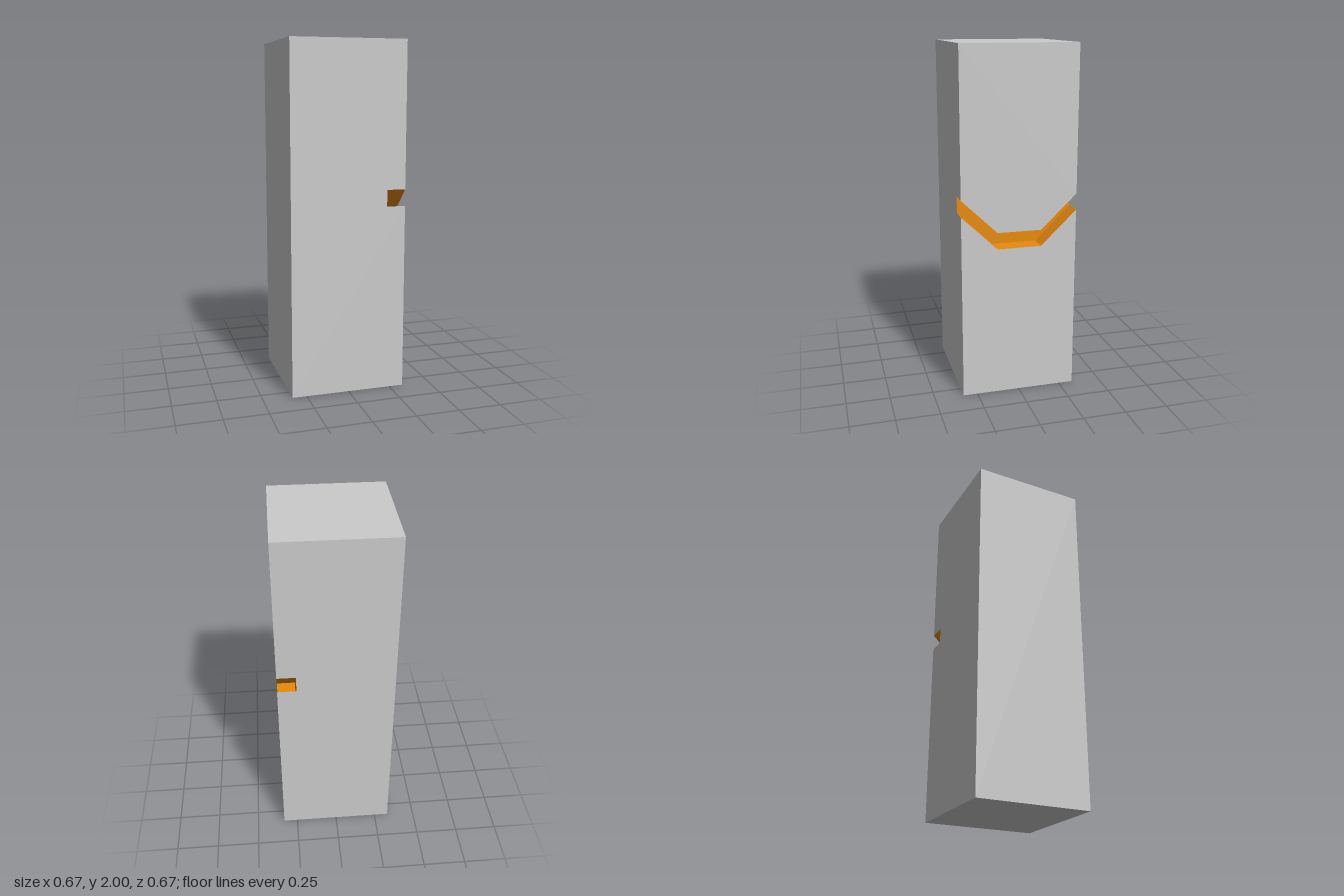
import * as THREE from 'three';

const H = 1 / 3;            // half width of the block
const TOP = 2;              // block height
const IN = 0.225;           // x of the groove's back wall
// groove edges along the right-hand face: [along, height]
const lower = [[-H, 1.073], [-0.127, 0.875], [0.127, 0.875], [H, 1.073]];
const upper = lower.map(([u, y]) => [u, y + 0.095]);

const flat = (pts) => new THREE.ShapeGeometry(new THREE.Shape(pts.map((p) => new THREE.Vector2(...p))));

// Strip of quads running from the groove's back wall out to the face
function strip(line, faceUp) {
  const pos = [];
  for (let i = 0; i < line.length - 1; i++) {
    const [a, b] = faceUp ? [line[i], line[i + 1]] : [line[i + 1], line[i]];
    const quad = [[...a, IN], [...a, H], [...b, H], [...b, IN]];
    for (const k of [0, 1, 2, 0, 2, 3]) pos.push(...quad[k]);
  }
  const g = new THREE.BufferGeometry();
  g.setAttribute('position', new THREE.Float32BufferAttribute(pos, 3));
  g.computeVertexNormals();
  return g;
}

export function createModel() {
  const model = new THREE.Group();
  const grey = new THREE.MeshStandardMaterial({ color: 0xcccccc });
  const orange = new THREE.MeshStandardMaterial({ color: 0xe88a0c });

  const block = new THREE.Group();
  block.name = 'block';
  const groove = new THREE.Group();
  groove.name = 'groove';
  model.add(block, groove);

  const add = (group, name, geometry, material) => {
    const mesh = new THREE.Mesh(geometry, material);
    mesh.name = name;
    group.add(mesh);
  };

  // Front and back faces, notched where the groove runs out
  const y0 = lower[0][1], y1 = upper[0][1];
  const notched = (s) => flat([
    [-H, 0], [H, 0], [H, y0], [IN, y0], [IN, y1], [H, y1], [H, TOP], [-H, TOP],
  ].map(([x, y]) => [x * s, y]));
  add(block, 'frontFace', notched(1).translate(0, 0, H), grey);
  add(block, 'backFace', notched(-1).rotateY(Math.PI).translate(0, 0, -H), grey);

  // Plain side, top and base
  add(block, 'plainSide', new THREE.PlaneGeometry(2 * H, TOP).rotateY(-Math.PI / 2).translate(-H, TOP / 2, 0), grey);
  add(block, 'topFace', new THREE.PlaneGeometry(2 * H, 2 * H).rotateX(-Math.PI / 2).translate(0, TOP, 0), grey);
  add(block, 'baseFace', new THREE.PlaneGeometry(2 * H, 2 * H).rotateX(Math.PI / 2), grey);

  // Grooved side, above and below the groove
  const toSide = (g, depth) => g.translate(0, 0, depth).rotateY(Math.PI / 2);
  add(block, 'groovedSideLower', toSide(flat([[-H, 0], ...lower, [H, 0]]), H), grey);
  add(block, 'groovedSideUpper', toSide(flat([[-H, TOP], ...upper, [H, TOP]]), H), grey);

  // Groove back wall, ledge and ceiling
  add(groove, 'grooveBackWall', toSide(flat([...lower, ...[...upper].reverse()]), IN), orange);
  add(groove, 'grooveLedge', toSide(strip(lower, true), 0), orange);
  add(groove, 'grooveCeiling', toSide(strip(upper, false), 0), orange);

  return model;
}
